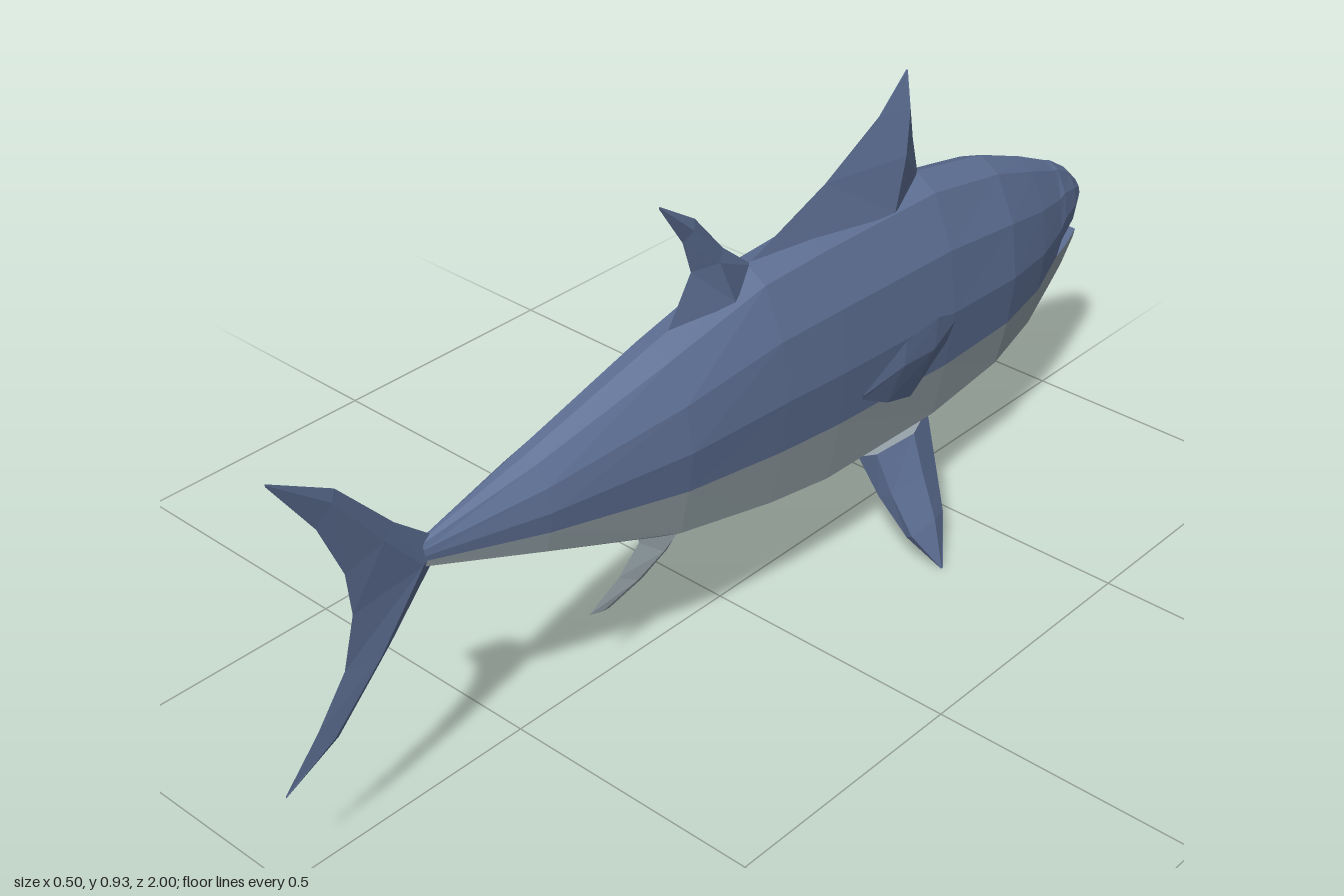
import * as THREE from 'three';

const blue = new THREE.MeshStandardMaterial({ color: 0x5f7196, flatShading: true, side: THREE.DoubleSide });
const grey = new THREE.MeshStandardMaterial({ color: 0x98a5ab, flatShading: true, side: THREE.DoubleSide });

// Skin rows of [x, y, z] points with faceted triangles facing away from their centre
function loft(name, rows, material) {
  const all = rows.flat();
  const c = [0, 1, 2].map(k => all.reduce((s, p) => s + p[k], 0) / all.length);
  const tris = [];
  for (let i = 0; i < rows.length - 1; i++) {
    for (let j = 0; j < rows[i].length - 1; j++) {
      const a = rows[i][j], b = rows[i][j + 1], d = rows[i + 1][j], e = rows[i + 1][j + 1];
      tris.push([a, b, e], [a, e, d]);
    }
  }
  const V = p => new THREE.Vector3(p[0] - c[0], p[1] - c[1], p[2] - c[2]);
  const volume = tris.reduce((s, t) => s + V(t[0]).dot(V(t[1]).cross(V(t[2]))), 0);
  if (volume < 0) tris.forEach(t => t.reverse());
  const geometry = new THREE.BufferGeometry();
  geometry.setAttribute('position', new THREE.Float32BufferAttribute(tris.flat(2), 3));
  geometry.computeVertexNormals();
  const mesh = new THREE.Mesh(geometry, material);
  mesh.name = name;
  return mesh;
}

// Half outline mirrored into a full one, running from one side to the other
const mirrored = half => [...half, ...half.slice(0, -1).reverse().map(([x, y, z]) => [-x, y, z])];

// Upper body outline: colour line up to the ridge
function upperRing([z, top, line, , w]) {
  const h = top - line;
  return mirrored([[w * 0.98, line, z], [w, line + h * 0.32, z], [w * 0.8, line + h * 0.66, z],
    [w * 0.38, line + h * 0.93, z], [0, top, z]]);
}

// Belly outline: colour line down to the keel
function lowerRing([z, , line, bottom, w]) {
  const h = line - bottom;
  return mirrored([[w * 0.98, line, z], [w * 0.87, bottom + h * 0.27, z],
    [w * 0.45, bottom + h * 0.02, z], [0, bottom, z]]);
}

const collapse = (ring, y, z) => ring.map(() => [0, y, z]);

// Fin from chords [front point, back point, half thickness], thickened along a normal
function finRows(chords, normal, bulge = 0.4) {
  return chords.map(([f, b, t]) => {
    const mid = f.map((v, k) => v + (b[k] - v) * bulge);
    const off = s => mid.map((v, k) => v + s * t * normal[k]);
    return [f, off(1), b, off(-1), f];
  });
}

// Upright fin on the centre plane from [front z, front y, back z, back y, half thickness]
const centreFin = (name, chords, material, bulge) => loft(name,
  finRows(chords.map(([fz, fy, bz, by, t]) => [[0, fy, fz], [0, by, bz], t]), [1, 0, 0], bulge), material);

export function createModel() {
  const model = new THREE.Group();
  model.name = 'fish';
  const fish = new THREE.Group();
  fish.name = 'tiltedFish';

  // Trunk stations: z, ridge y, colour line y, keel y, half width
  const trunk = [
    [0.72, 0.525, 0.495, 0.48, 0.012], [0.5, 0.577, 0.457, 0.4, 0.06], [0.22, 0.655, 0.412, 0.285, 0.1],
    [0, 0.712, 0.387, 0.23, 0.113], [-0.15, 0.718, 0.375, 0.203, 0.118], [-0.45, 0.715, 0.362, 0.203, 0.122],
    [-0.65, 0.672, 0.36, 0.228, 0.114], [-0.78, 0.62, 0.365, 0.258, 0.09], [-0.87, 0.578, 0.39, 0.292, 0.064],
  ];
  const upperJaw = [[-0.89, 0.57, 0.418, 0, 0.058], [-0.945, 0.535, 0.437, 0, 0.042], [-0.985, 0.497, 0.46, 0, 0.022]];
  const lowerJaw = [[-0.93, 0, 0.385, 0.318, 0.045], [-1, 0, 0.38, 0.355, 0.018]];
  const upper = [...trunk, ...upperJaw].map(upperRing);
  const lower = [...trunk, ...lowerJaw].map(lowerRing);
  fish.add(loft('upperBody', [...upper, collapse(upper[0], 0.478, -0.985)], blue));
  fish.add(loft('belly', [...lower, collapse(lower[0], 0.37, -1)], grey));

  // Mouth surfaces between the jaws
  const across = s => [[s[4] * 0.98, s[2], s[0]], [-s[4] * 0.98, s[2], s[0]]];
  fish.add(loft('mouthRoof', [trunk[8], ...upperJaw].map(across), blue));
  fish.add(loft('mouthFloor', [trunk[8], ...lowerJaw].map(across), blue));

  // Fins on the centre line
  fish.add(centreFin('firstDorsalFin', [
    [-0.46, 0.695, 0.03, 0.695, 0.046], [-0.427, 0.79, -0.19, 0.79, 0.033],
    [-0.405, 0.87, -0.32, 0.87, 0.018], [-0.385, 0.937, -0.383, 0.935, 0.002]], blue, 0.25));
  fish.add(centreFin('secondDorsalFin', [
    [-0.02, 0.7, 0.19, 0.655, 0.035], [0.065, 0.77, 0.14, 0.755, 0.022],
    [0.14, 0.855, 0.165, 0.82, 0.01], [0.225, 0.91, 0.225, 0.905, 0.001]], blue));
  fish.add(centreFin('analFin', [
    [0.08, 0.27, 0.23, 0.29, 0.035], [0.15, 0.195, 0.225, 0.25, 0.018],
    [0.21, 0.165, 0.27, 0.2, 0.01], [0.29, 0.145, 0.34, 0.158, 0.003]], grey));
  fish.add(centreFin('tailFin', [
    [1, 0.78, 1, 0.775, 0.001], [0.88, 0.71, 0.915, 0.655, 0.007], [0.77, 0.59, 0.865, 0.545, 0.012],
    [0.67, 0.505, 0.852, 0.46, 0.015], [0.78, 0.36, 0.87, 0.36, 0.012],
    [0.885, 0.238, 0.925, 0.27, 0.007], [0.99, 0.18, 0.99, 0.185, 0.001]], blue, 0.3));

  // Paired fins
  for (const [side, s] of [['left', 1], ['right', -1]]) {
    const m = p => [p[0] * s, p[1], p[2]];
    const pectoral = [
      [[0.112, 0.455, -0.487], [0.112, 0.365, -0.38], 0.008], [[0.137, 0.505, -0.38], [0.16, 0.39, -0.29], 0.012],
      [[0.165, 0.528, -0.25], [0.185, 0.44, -0.185], 0.009], [[0.2, 0.512, -0.09], [0.2, 0.5, -0.09], 0.001]];
    fish.add(loft(side + 'PectoralFin',
      finRows(pectoral, [0.9, 0.1, -0.4]).map(r => r.map(m)), blue));

    // Pelvic fin: wedge sections with a grey inner face
    const pelvic = [
      [[0.09, 0.245, -0.455], [0.125, 0.25, -0.37], [0.115, 0.245, -0.275], [0.065, 0.205, -0.29]],
      [[0.145, 0.165, -0.425], [0.163, 0.185, -0.36], [0.155, 0.175, -0.28], [0.125, 0.15, -0.285]],
      [[0.195, 0.1, -0.395], [0.21, 0.11, -0.35], [0.205, 0.1, -0.29], [0.19, 0.088, -0.295]],
      [[0.25, 0.028, -0.338], [0.25, 0.028, -0.335], [0.25, 0.028, -0.333], [0.249, 0.028, -0.333]]];
    fish.add(loft(side + 'PelvicFin', pelvic.map(r => r.map(m)), blue));
    fish.add(loft(side + 'PelvicFinInnerFace', pelvic.map(r => [m(r[3]), m(r[0])]), grey));
  }

  // Slight roll of the whole body about its long axis
  fish.children.forEach(part => part.position.set(0, -0.5, 0));
  fish.position.set(0.04, 0.5, 0);
  fish.rotation.z = -0.09;
  model.add(fish);
  return model;
}
